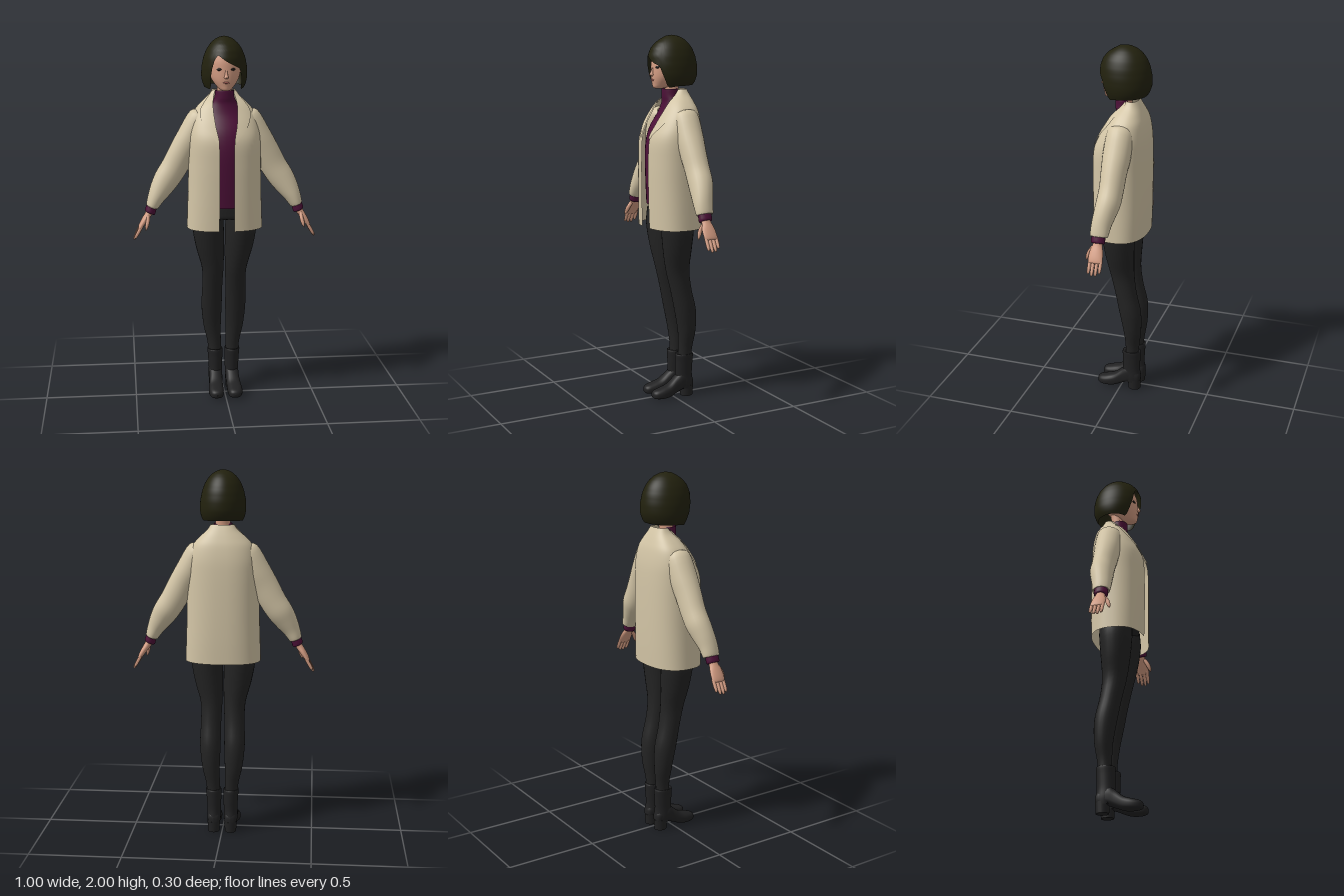
import * as THREE from 'three';

const mat = (name, color, side = THREE.FrontSide) => {
  const m = new THREE.MeshStandardMaterial({ color, side });
  m.name = name;
  return m;
};

// Catmull-Rom through rows of numbers, t in 0..1
function spline(keys, t) {
  const n = keys.length - 1, s = Math.min(t * n, n - 1e-6), i = Math.floor(s), f = s - i;
  const k = j => keys[Math.max(0, Math.min(n, i + j))];
  return k(0).map((p1, c) => {
    const p0 = k(-1)[c], p2 = k(1)[c], p3 = k(2)[c];
    return p1 + 0.5 * f * (p2 - p0 + f * (2 * p0 - 5 * p1 + 4 * p2 - p3 + f * (3 * (p1 - p2) + p3 - p0)));
  });
}

// Straight-line lookup: first column is the sorted position
function lookup(keys, p) {
  let i = 0;
  while (i < keys.length - 2 && p > keys[i + 1][0]) i++;
  const f = THREE.MathUtils.clamp((p - keys[i][0]) / (keys[i + 1][0] - keys[i][0]), 0, 1);
  return keys[i].map((a, c) => a + (keys[i + 1][c] - a) * f);
}

// Grid surface from f(u, v); "closed" joins the seam in u
function surface(nu, nv, closed, f) {
  const cols = closed ? nu : nu + 1, pos = [], idx = [];
  for (let j = 0; j <= nv; j++) for (let i = 0; i < cols; i++) pos.push(...f(i / nu, j / nv));
  for (let j = 0; j < nv; j++) for (let i = 0; i < nu; i++) {
    const a = j * cols + i, b = j * cols + (i + 1) % cols, c = a + cols, d = b + cols;
    idx.push(a, b, c, b, d, c);
  }
  const g = new THREE.BufferGeometry();
  g.setAttribute('position', new THREE.Float32BufferAttribute(pos, 3));
  g.setIndex(idx);
  g.computeVertexNormals();
  return g;
}

// Elliptical sections from top to bottom: [x, y, z, halfWidth, halfDepth, tilt]
function loft(keys, nu = 24, step = 4) {
  return surface(nu, (keys.length - 1) * step, true, (u, v) => {
    const [x, y, z, a, b, tilt = 0] = spline(keys, v), th = u * Math.PI * 2;
    const w = Math.max(a, 0.0005) * Math.cos(th);
    return [x + w * Math.cos(tilt), y + w * Math.sin(tilt), z + Math.max(b, 0.0005) * Math.sin(th)];
  });
}

function mirrored(geo) {
  const g = geo.clone().scale(-1, 1, 1), a = g.index.array;
  for (let i = 0; i < a.length; i += 3) [a[i], a[i + 1]] = [a[i + 1], a[i]];
  return g;
}

export function createModel() {
  const model = new THREE.Group();
  const jacket = mat('cream jacket', 0xd3c5a6, THREE.DoubleSide);
  const knit = mat('plum knit', 0x4c1037, THREE.DoubleSide);
  const trouser = mat('black trousers', 0x232323, THREE.DoubleSide);
  const leather = mat('black leather', 0x212122);
  const skin = mat('skin', 0xd39c82);
  const hairMat = mat('dark hair', 0x22210e, THREE.DoubleSide);
  const eyeMat = mat('eye', 0x1c1512);
  const lipMat = mat('lips', 0xb56a60);

  const add = (name, geo, m) => {
    const mesh = new THREE.Mesh(geo, m);
    mesh.name = name;
    model.add(mesh);
  };
  const pair = (name, geo, m) => {
    add('left ' + name, geo, m);
    add('right ' + name, mirrored(geo), m);
  };

  // Jacket body, open at the front: [y, halfWidth, frontZ, backZ, halfGap, lapelWidth]
  const coat = [
    [1.715, 0.062, -0.025, -0.085, 0.046, 0.01], [1.685, 0.082, 0.0, -0.1, 0.056, 0.02],
    [1.645, 0.125, 0.04, -0.117, 0.064, 0.045], [1.6, 0.162, 0.07, -0.132, 0.064, 0.066],
    [1.53, 0.186, 0.112, -0.144, 0.056, 0.055], [1.45, 0.195, 0.146, -0.149, 0.041, 0.012],
    [1.33, 0.196, 0.152, -0.151, 0.038, 0], [1.2, 0.198, 0.152, -0.151, 0.038, 0],
    [1.08, 0.202, 0.15, -0.149, 0.039, 0], [0.97, 0.206, 0.147, -0.145, 0.041, 0]];
  const E = 0.82;
  const angleAt = (x, rx) => Math.asin(Math.min(0.98, Math.pow(x / rx, 1 / E)));
  const bend = s => Math.sign(s) * Math.pow(Math.abs(s), E);
  const coatPoint = ([y, rx, zf, zb], phi, out = 0) => [
    (rx + out) * bend(Math.sin(phi)), y, (zf + zb) / 2 + ((zf - zb) / 2 + out) * bend(Math.cos(phi))];
  add('jacket body', surface(56, 40, false, (u, v) => {
    const k = spline(coat, v), p0 = angleAt(k[4], k[1]);
    return coatPoint(k, Math.PI * 2 - p0 - u * (Math.PI * 2 - 2 * p0));
  }), jacket);
  // Lapels lie just over the chest
  pair('lapel', surface(6, 20, false, (u, v) => {
    const k = spline(coat, 0.02 + v * 0.53);
    const a = angleAt(k[4] - 0.003, k[1]), b = angleAt(k[4] + Math.max(k[5], 0), k[1]);
    return coatPoint(k, b + (a - b) * u, 0.007);
  }), jacket);

  // Sleeves with a soft bulge at the elbow
  pair('sleeve', loft([
    [0.1, 1.585, -0.025, 0.035, 0.045, 0.7], [0.13, 1.565, -0.025, 0.065, 0.07, 0.65],
    [0.18, 1.465, -0.022, 0.075, 0.074, 0.5], [0.225, 1.385, -0.02, 0.074, 0.068, 0.48],
    [0.268, 1.305, -0.02, 0.072, 0.064, 0.48], [0.31, 1.24, -0.016, 0.07, 0.064, 0.5],
    [0.345, 1.185, -0.006, 0.06, 0.058, 0.5], [0.374, 1.135, 0.003, 0.046, 0.052, 0.45],
    [0.395, 1.09, 0.006, 0.034, 0.047, 0.4], [0.394, 1.094, 0.006, 0.026, 0.036, 0.4]]), jacket);
  pair('sweater cuff', loft([
    [0.39, 1.11, 0.007, 0.028, 0.036, 0.45], [0.4, 1.08, 0.008, 0.03, 0.037, 0.45],
    [0.408, 1.056, 0.009, 0.028, 0.034, 0.45], [0.407, 1.06, 0.009, 0.005, 0.005, 0.45]], 20), knit);

  // Sweater with a high collar
  add('sweater', loft([
    [0, 1.705, 0, 0.044, 0.034], [0, 1.715, 0, 0.05, 0.041], [0, 1.675, -0.004, 0.054, 0.045],
    [0, 1.64, -0.012, 0.075, 0.05], [0, 1.58, -0.02, 0.12, 0.075], [0, 1.5, -0.005, 0.15, 0.108],
    [0, 1.4, 0, 0.16, 0.126], [0, 1.25, 0, 0.16, 0.126], [0, 1.09, 0, 0.16, 0.118]], 32), knit);

  // Hands
  pair('palm', loft([
    [0.404, 1.075, 0.008, 0.02, 0.024, 0.55], [0.414, 1.05, 0.008, 0.019, 0.026, 0.55],
    [0.434, 1.02, 0.008, 0.017, 0.036, 0.57], [0.453, 0.99, 0.007, 0.014, 0.039, 0.57],
    [0.464, 0.97, 0.006, 0.01, 0.036, 0.57], [0.466, 0.967, 0.006, 0.001, 0.01, 0.57]], 16), skin);
  [[-0.024, 0.8], [-0.004, 0.97], [0.016, 1], [0.035, 0.88]].forEach(([z, len], i) => {
    const at = (t, r) => [0.453 + 0.044 * t * len, 0.985 - 0.077 * t * len, z, r, r, 0.57];
    pair('finger ' + (i + 1), loft([at(0, 0.009), at(0.5, 0.0095), at(0.9, 0.0075), at(1, 0.001)], 8, 3), skin);
  });
  pair('thumb', loft([
    [0.416, 1.045, 0.026, 0.01, 0.012, 0.5], [0.42, 1.015, 0.046, 0.011, 0.013, 0.5],
    [0.428, 0.985, 0.058, 0.009, 0.01, 0.5], [0.433, 0.966, 0.063, 0.001, 0.001, 0.5]], 10), skin);

  // Trousers
  add('trouser waist', loft([
    [0, 1.12, 0, 0.15, 0.1], [0, 1.06, 0, 0.158, 0.1], [0, 1.025, 0, 0.16, 0.09],
    [0, 1.015, 0, 0.02, 0.02]], 28), trouser);
  pair('trouser leg', loft([
    [0.087, 1.06, 0, 0.078, 0.086], [0.09, 0.97, 0, 0.086, 0.09], [0.079, 0.85, -0.004, 0.077, 0.08],
    [0.064, 0.73, -0.014, 0.06, 0.067], [0.065, 0.62, -0.034, 0.056, 0.06],
    [0.067, 0.5, -0.06, 0.057, 0.061], [0.063, 0.38, -0.072, 0.049, 0.05],
    [0.052, 0.28, -0.07, 0.038, 0.039], [0.049, 0.2, -0.066, 0.035, 0.036]]), trouser);

  // Ankle boots: shaft, foot and block heel
  pair('boot shaft', loft([
    [0.049, 0.236, -0.064, 0.03, 0.03], [0.049, 0.244, -0.064, 0.042, 0.051],
    [0.047, 0.2, -0.064, 0.041, 0.051], [0.046, 0.13, -0.063, 0.038, 0.049],
    [0.047, 0.08, -0.066, 0.038, 0.052], [0.047, 0.045, -0.07, 0.034, 0.047]]), leather);
  // Foot sections run heel to toe: [z, x, halfWidth, top, bottom]
  const foot = [
    [-0.118, 0.047, 0.004, 0.085, 0.055], [-0.105, 0.047, 0.03, 0.11, 0.045], [-0.05, 0.047, 0.038, 0.145, 0.04],
    [-0.01, 0.048, 0.037, 0.118, 0.026], [0.035, 0.051, 0.04, 0.082, 0.009], [0.08, 0.053, 0.041, 0.066, 0.005],
    [0.115, 0.052, 0.034, 0.056, 0.008], [0.131, 0.051, 0.02, 0.046, 0.015], [0.136, 0.051, 0.001, 0.032, 0.03]];
  pair('boot foot', surface(24, 32, true, (u, v) => {
    const [z, x, w, top, bot] = spline(foot, v), c = Math.cos(u * Math.PI * 2), s = Math.sin(u * Math.PI * 2);
    const p = s < 0 ? 0.55 : 0.9;
    return [x + w * Math.sign(c) * Math.pow(Math.abs(c), 0.8), (top + bot) / 2 + (top - bot) / 2 * Math.sign(s) * Math.pow(Math.abs(s), p), z];
  }), leather);
  const heel = new THREE.CylinderGeometry(0.037, 0.033, 0.06, 20).scale(0.95, 1, 1.05);
  pair('boot heel', heel.translate(0.047, 0.03, -0.081), leather);

  // Neck, head and face
  add('neck', loft([[0, 1.79, -0.012, 0.044, 0.046], [0, 1.72, -0.01, 0.04, 0.038], [0, 1.66, -0.012, 0.044, 0.034]]), skin);
  add('head', loft([
    [0, 1.955, 0, 0.005, 0.005], [0, 1.935, 0, 0.065, 0.07], [0, 1.88, 0, 0.09, 0.097],
    [0, 1.825, 0.008, 0.086, 0.096], [0, 1.78, 0.024, 0.073, 0.082], [0, 1.745, 0.042, 0.05, 0.06],
    [0, 1.722, 0.06, 0.026, 0.036], [0, 1.716, 0.064, 0.002, 0.002]], 32, 5), skin);
  add('nose', loft([
    [0, 1.83, 0.098, 0.005, 0.006], [0, 1.805, 0.105, 0.008, 0.01],
    [0, 1.79, 0.108, 0.012, 0.014], [0, 1.782, 0.1, 0.004, 0.004]], 12), skin);
  pair('eye', new THREE.SphereGeometry(1, 14, 8).scale(0.014, 0.007, 0.004).rotateY(0.4).translate(0.038, 1.832, 0.094), eyeMat);
  add('mouth', new THREE.SphereGeometry(1, 14, 8).scale(0.017, 0.005, 0.004).translate(0, 1.763, 0.103), lipMat);

  // Bobbed hair with a swept fringe: profile [-y, halfWidth, frontZ, backZ]
  const bob = [
    [-2, 0.001, -0.012, -0.014], [-1.995, 0.028, 0.022, -0.045], [-1.98, 0.054, 0.05, -0.077],
    [-1.96, 0.075, 0.08, -0.102], [-1.93, 0.095, 0.106, -0.125], [-1.89, 0.111, 0.121, -0.142],
    [-1.84, 0.121, 0.124, -0.152], [-1.79, 0.123, 0.117, -0.152], [-1.755, 0.117, 0.102, -0.139],
    [-1.72, 0.1, 0.088, -0.115]];
  // Lower hair edge by angle from the front: [degrees, y]
  const edge = [
    [-180, 1.74], [-75, 1.732], [-52, 1.724], [-44, 1.745], [-39, 1.82], [-33, 1.88], [-24, 1.908],
    [0, 1.875], [20, 1.853], [36, 1.838], [41, 1.8], [47, 1.74], [54, 1.724], [75, 1.732], [180, 1.74]];
  add('bobbed hair', surface(96, 24, true, (u, v) => {
    const deg = 180 - u * 360, phi = deg * Math.PI / 180, low = lookup(edge, deg)[1];
    const y = 2 - (2 - low) * (1 - Math.cos(v * Math.PI / 2)) ** 0.9;
    const [, rx, zf, zb] = lookup(bob, -y);
    return [rx * Math.sin(phi), y, (zf + zb) / 2 + (zf - zb) / 2 * Math.cos(phi)];
  }), hairMat);

  return model;
}
